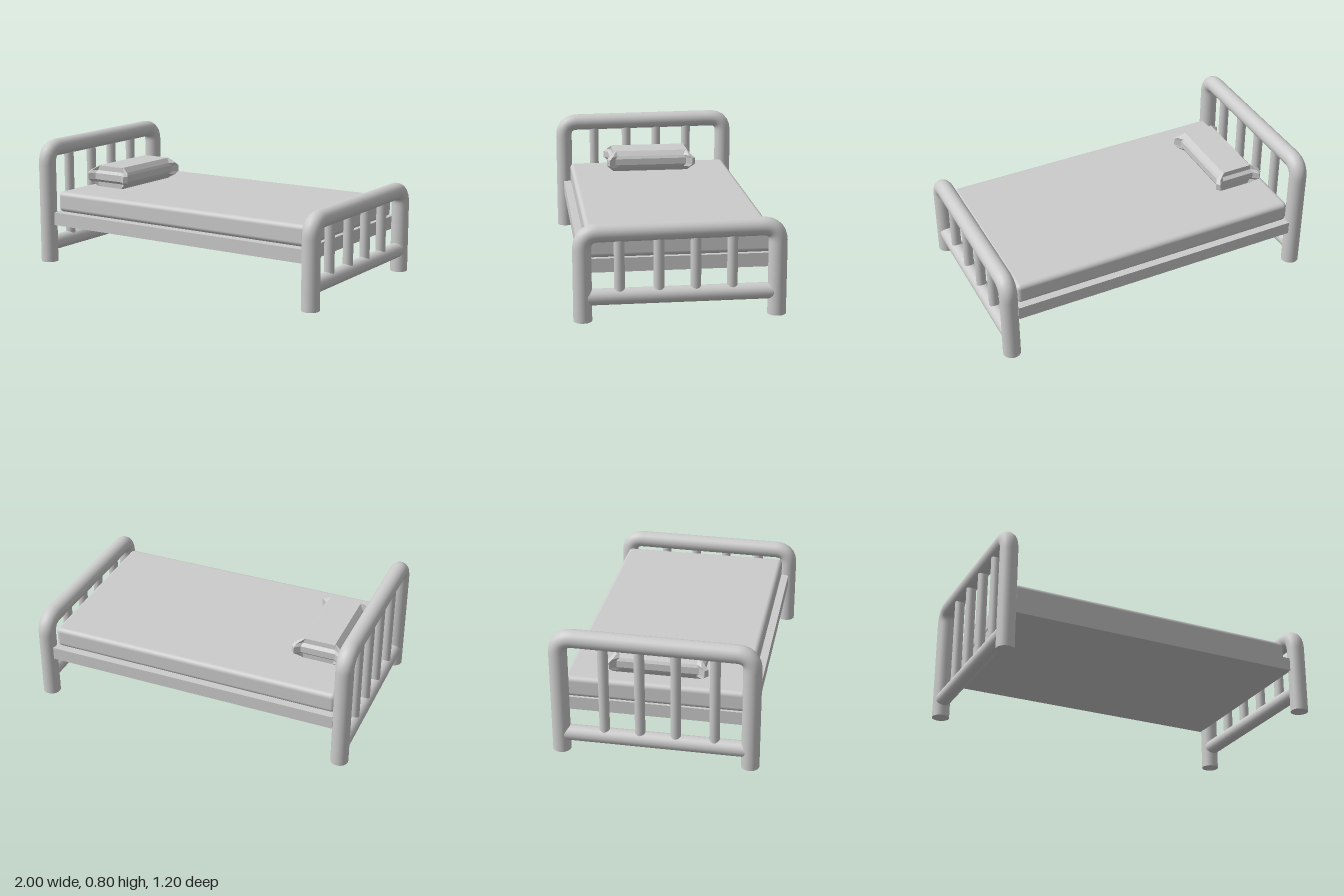
import * as THREE from 'three';
import { RoundedBoxGeometry } from 'three/addons/geometries/RoundedBoxGeometry.js';

const material = new THREE.MeshStandardMaterial({ color: 0xcccccc });
const v = (x, y, z) => new THREE.Vector3(x, y, z);

function part(name, geometry, x = 0, y = 0, z = 0, mat = material) {
  const mesh = new THREE.Mesh(geometry, mat);
  mesh.name = name;
  mesh.position.set(x, y, z);
  return mesh;
}

// Tubular end of the bed: arched pipe, lower rail and upright bars
function bedEnd(name, x, bottom, top) {
  const group = new THREE.Group();
  group.name = name;
  group.position.x = x;
  const r = 0.0525, half = 0.545, bend = 0.09;
  const yL = top - r - 0.008, yR = top - r; // top rail rises slightly to the back

  const path = new THREE.CurvePath();
  path.add(new THREE.LineCurve3(v(0, bottom, half), v(0, yL - bend, half)));
  path.add(new THREE.QuadraticBezierCurve3(v(0, yL - bend, half), v(0, yL, half), v(0, yL, half - bend)));
  path.add(new THREE.LineCurve3(v(0, yL, half - bend), v(0, yR, bend - half)));
  path.add(new THREE.QuadraticBezierCurve3(v(0, yR, bend - half), v(0, yR, -half), v(0, yR - bend, -half)));
  path.add(new THREE.LineCurve3(v(0, yR - bend, -half), v(0, bottom, -half)));
  group.add(part('archPipe', new THREE.TubeGeometry(path, 100, r, 24)));

  for (const z of [half, -half]) {
    group.add(part('footCap', new THREE.CircleGeometry(r, 24).rotateX(Math.PI / 2), 0, bottom, z));
  }

  const railY = 0.135;
  group.add(part('lowerRail', new THREE.CylinderGeometry(0.046, 0.046, 2 * half, 20).rotateX(Math.PI / 2), 0, railY));

  const barHeight = yL - railY;
  for (const z of [0.34, 0.12, -0.085, -0.29]) {
    group.add(part('bar', new THREE.CylinderGeometry(0.03, 0.03, barHeight, 16), 0, railY + barHeight / 2, z));
  }
  return group;
}

// Cushion lofted through stacked outlines, with a blunt ear at each corner
function pillowGeometry() {
  const ear = [[0.128, 0.235], [0.157, 0.272], [0.138, 0.292], [0.105, 0.265]];
  const flat = [[0.095, 0.225], [0.095, 0.235], [0.095, 0.245], [0.085, 0.245]];
  // One corner mirrored into all four, in order around the outline
  const outline = (corner, s) => {
    const back = [...corner].reverse();
    return [
      ...corner.map(([x, z]) => [x, z]),
      ...back.map(([x, z]) => [-x, z]),
      ...corner.map(([x, z]) => [-x, -z]),
      ...back.map(([x, z]) => [x, -z]),
    ].map(([x, z]) => [x * s, z * s]);
  };
  const layers = [
    [-0.067, outline(flat, 1)],
    [-0.037, outline(ear, 0.93)],
    [-0.02, outline(ear, 1)],
    [0.02, outline(ear, 1)],
    [0.037, outline(ear, 0.93)],
    [0.067, outline(flat, 1)],
  ];
  const n = 16, positions = [], index = [];
  for (const [y, ring] of layers) for (const [x, z] of ring) positions.push(x, y, z);
  for (let j = 0; j < layers.length - 1; j++) {
    for (let i = 0; i < n; i++) {
      const a = j * n + i, b = j * n + (i + 1) % n;
      index.push(a, a + n, b, b, a + n, b + n);
    }
  }
  // Flat bottom and top
  const last = (layers.length - 1) * n;
  for (let i = 1; i < n - 1; i++) {
    index.push(0, i, i + 1);
    index.push(last, last + i + 1, last + i);
  }
  const geometry = new THREE.BufferGeometry();
  geometry.setAttribute('position', new THREE.Float32BufferAttribute(positions, 3));
  geometry.setIndex(index);
  const faceted = geometry.toNonIndexed();
  faceted.computeVertexNormals();
  return faceted;
}

export function createModel() {
  const bed = new THREE.Group();
  bed.name = 'bed';

  bed.add(bedEnd('headboard', -0.9475, 0.025, 0.798));
  bed.add(bedEnd('footboard', 0.9475, 0, 0.562));

  // Base slab and mattress
  bed.add(part('base', new THREE.BoxGeometry(1.8, 0.08, 1.125), 0, 0.3, -0.01));
  bed.add(part('mattress', new RoundedBoxGeometry(1.79, 0.127, 1.05, 3, 0.028), -0.005, 0.402, -0.015));

  bed.add(part('pillow', pillowGeometry(), -0.697, 0.537, -0.007));
  return bed;
}
